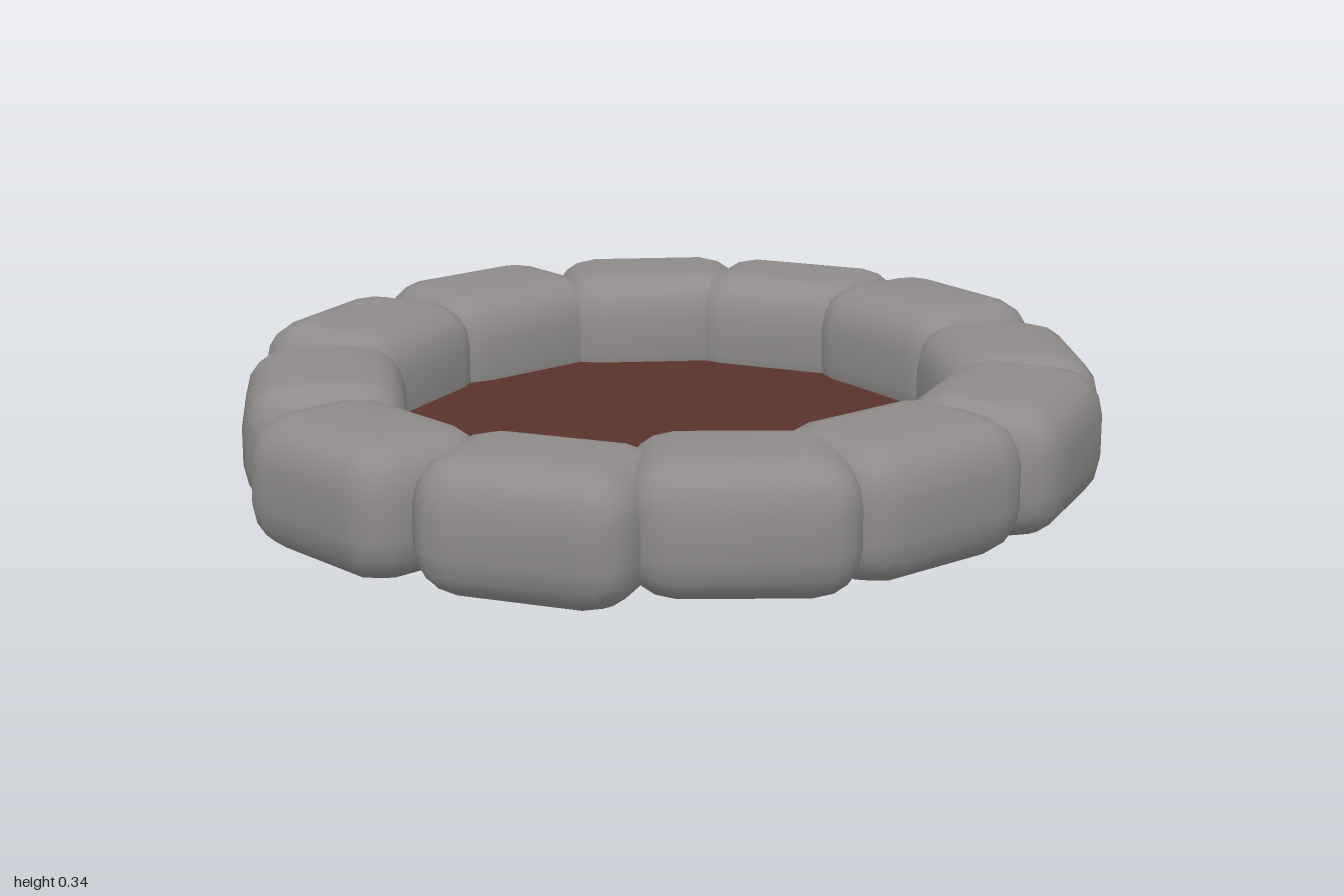
import * as THREE from 'three';
import { RoundedBoxGeometry } from 'three/addons/geometries/RoundedBoxGeometry.js';
import { mergeVertices } from 'three/addons/utils/BufferGeometryUtils.js';

// Rounded stone with soft shading, local +z faces out of the ring
function stoneGeometry() {
  const geo = new RoundedBoxGeometry(0.475, 0.295, 0.36, 2, 0.105);
  geo.deleteAttribute('normal');
  geo.deleteAttribute('uv');
  const merged = mergeVertices(geo, 1e-4);
  merged.computeVertexNormals();
  return merged;
}

// x, z, height of centre, outward heading in degrees
const STONES = [
  [0.753, 0.212, 0.178, 75],
  [0.752, -0.222, 0.19, 106],
  [0.566, -0.573, 0.182, 138],
  [0.25, -0.77, 0.178, 165],
  [-0.16, -0.78, 0.175, 200],
  [-0.525, -0.572, 0.167, 222],
  [-0.725, -0.185, 0.155, 256],
  [-0.745, 0.27, 0.15, 293],
  [-0.487, 0.645, 0.165, 320],
  [-0.112, 0.78, 0.176, 341],
  [0.235, 0.752, 0.183, 19],
  [0.56, 0.577, 0.192, 46],
];

export function createModel() {
  const group = new THREE.Group();
  const stoneGrey = new THREE.MeshStandardMaterial({ color: 0x8f8b8b });
  stoneGrey.name = 'stoneGrey';
  const earthBrown = new THREE.MeshStandardMaterial({ color: 0x5a332a });
  earthBrown.name = 'earthBrown';

  // Ring of stones
  const ring = new THREE.Group();
  ring.name = 'stoneRing';
  const geo = stoneGeometry();
  STONES.forEach(([x, z, y, heading], i) => {
    const stone = new THREE.Mesh(geo, stoneGrey);
    stone.name = `stone${i + 1}`;
    stone.position.set(x, y, z);
    stone.rotation.y = THREE.MathUtils.degToRad(heading);
    ring.add(stone);
  });
  group.add(ring);

  // Earth floor inside the ring
  const floor = new THREE.Mesh(new THREE.CylinderGeometry(0.68, 0.68, 0.045, 32), earthBrown);
  floor.name = 'earthFloor';
  floor.position.y = 0.098;
  group.add(floor);

  return group;
}
